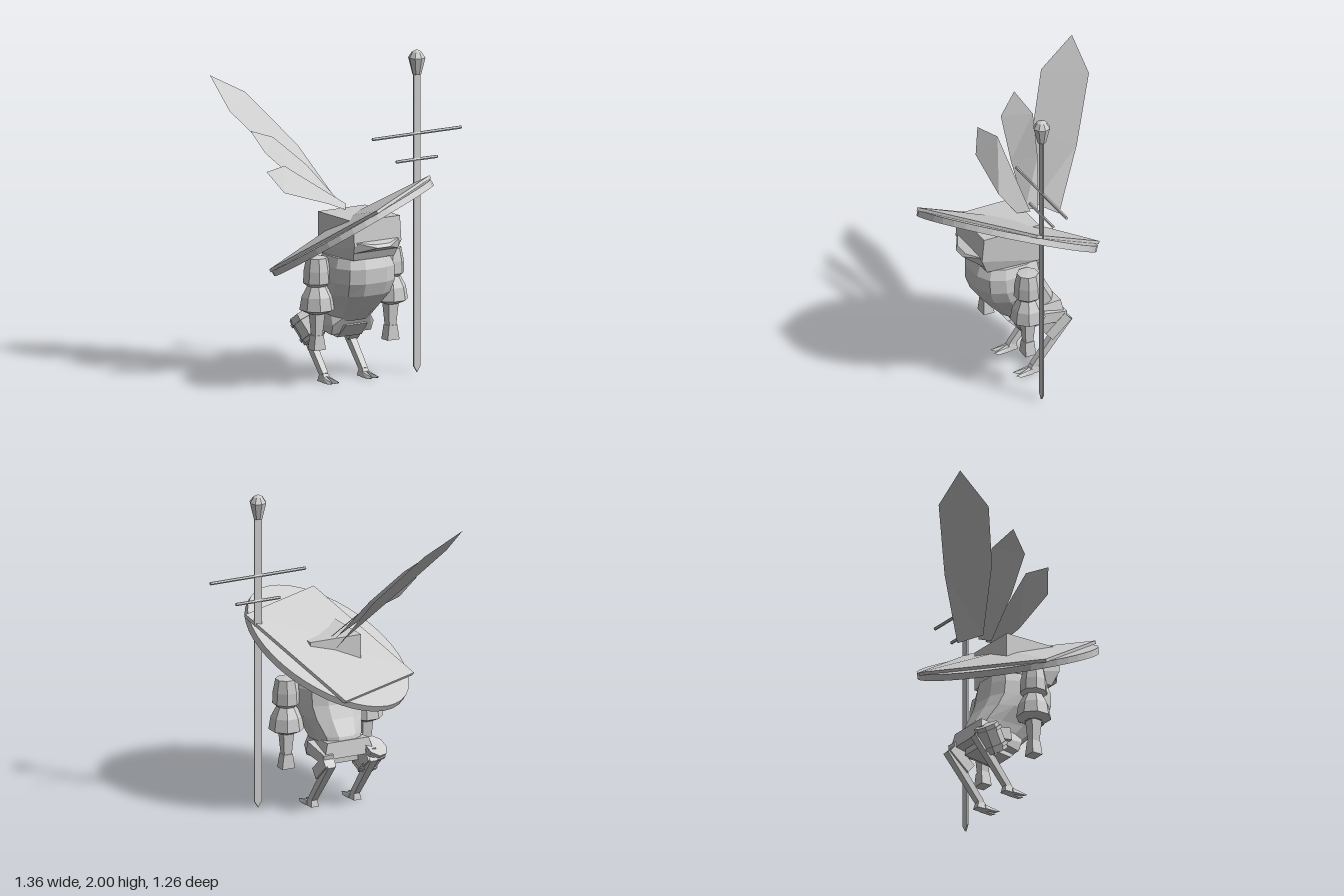
import * as THREE from 'three';
import { ConvexGeometry } from 'three/addons/geometries/ConvexGeometry.js';

const grey = new THREE.MeshStandardMaterial({ color: 0xcccccc, flatShading: true });
grey.name = 'grey';
const greySheet = new THREE.MeshStandardMaterial({ color: 0xcccccc, flatShading: true, side: THREE.DoubleSide });
greySheet.name = 'grey sheet';

const V = (x, y, z) => new THREE.Vector3(x, y, z);
const MID = -0.11; // centre line of the body

function add(parent, name, geometry, material = grey) {
  const mesh = new THREE.Mesh(geometry, material);
  mesh.name = name;
  parent.add(mesh);
  return mesh;
}

// Convex solid from points given on one side, mirrored about x = 0
function mirrored(points) {
  return new ConvexGeometry(points.flatMap(([x, y, z]) => [V(x, y, z), V(-x, y, z)]));
}

// Straight limb from a to b with a polygonal section
function limb(parent, name, a, b, ra, rb, sides = 4) {
  const dir = b.clone().sub(a);
  const geo = new THREE.CylinderGeometry(rb, ra, dir.length(), sides);
  if (sides === 4) geo.rotateY(Math.PI / 4);
  const mesh = add(parent, name, geo);
  mesh.position.copy(a).add(b).multiplyScalar(0.5);
  mesh.quaternion.setFromUnitVectors(V(0, 1, 0), dir.normalize());
  return mesh;
}

// Closed body from rounded sections [y, half width, front z, back z], bottom to top
function loft(sections, sides, power) {
  const pos = [], index = [], n = sections.length;
  const soft = (v) => Math.sign(v) * Math.abs(v) ** power;
  for (const [y, hw, zf, zb] of sections) {
    for (let j = 0; j < sides; j++) {
      const t = ((j + 0.5) / sides) * Math.PI * 2;
      pos.push(soft(Math.sin(t)) * hw, y, (zf + zb) / 2 + soft(Math.cos(t)) * (zf - zb) / 2);
    }
  }
  for (let i = 0; i < n - 1; i++) {
    for (let j = 0; j < sides; j++) {
      const k = (j + 1) % sides, a = i * sides + j, b = i * sides + k;
      index.push(a, b, b + sides, a, b + sides, a + sides);
    }
  }
  for (let j = 1; j < sides - 1; j++) {
    const top = (n - 1) * sides;
    index.push(0, j + 1, j, top, top + j, top + j + 1);
  }
  const geo = new THREE.BufferGeometry();
  geo.setAttribute('position', new THREE.Float32BufferAttribute(pos, 3));
  geo.setIndex(index);
  geo.computeVertexNormals();
  return geo;
}

// Thin leaf, triangulated from the base edge outward
function feather(points) {
  const geo = new THREE.BufferGeometry();
  geo.setAttribute('position', new THREE.Float32BufferAttribute(points.flat(), 3));
  // order: tip, right shoulder, right middle, base right, base left, left middle, left shoulder
  geo.setIndex([0, 6, 1, 1, 6, 5, 1, 5, 2, 2, 5, 4, 2, 4, 3]);
  geo.computeVertexNormals();
  return geo;
}

function buildHat() {
  const hat = new THREE.Group();
  hat.name = 'hat';
  const up = V(-0.33, 0.86, -0.4).normalize();
  const side = V(0.535, 0.243, 0.085);
  side.addScaledVector(up, -side.dot(up)).normalize();
  hat.quaternion.setFromRotationMatrix(
    new THREE.Matrix4().makeBasis(side, up, side.clone().cross(up)));
  hat.position.set(-0.115, 0.95, 0.1);
  add(hat, 'brim', new THREE.CylinderGeometry(0.556, 0.556, 0.04, 40));
  add(hat, 'squareCover', new THREE.CylinderGeometry(0.59, 0.59, 0.02, 4)).position.y = 0.028;
  add(hat, 'coverPeak', new THREE.ConeGeometry(0.59, 0.04, 4)).position.y = 0.058;
  return hat;
}

function buildArm(x) {
  const arm = new THREE.Group();
  arm.name = x > MID ? 'leftArm' : 'rightArm';
  arm.position.set(x, 0, 0.105);
  const sleeve = [[0, 0.47], [0.055, 0.455], [0.108, 0.48], [0.095, 0.56], [0.06, 0.625], [0.085, 0.645],
    [0.082, 0.72], [0.066, 0.8], [0, 0.805]].map(([r, y]) => new THREE.Vector2(r, y));
  add(arm, 'sleeve', new THREE.LatheGeometry(sleeve, 8).rotateY(Math.PI / 8));
  limb(arm, 'forearm', V(0, 0.3, 0), V(0, 0.47, 0), 0.034, 0.052);
  add(arm, 'hand', mirrored([[0.043, 0.23, 0.035], [0.043, 0.23, -0.035], [0.03, 0.32, 0.03], [0.03, 0.32, -0.03]]));
  return arm;
}

function buildLeg(x) {
  const leg = new THREE.Group();
  leg.name = x > MID ? 'leftLeg' : 'rightLeg';
  leg.position.x = x;
  limb(leg, 'thigh', V(0, 0.38, 0.0), V(0, 0.35, -0.21), 0.055, 0.045);
  limb(leg, 'thighWrap', V(0, 0.235, -0.09), V(0, 0.345, -0.22), 0.052, 0.05);
  limb(leg, 'shin', V(0, 0.04, 0.0), V(0, 0.33, -0.235), 0.028, 0.036);
  add(leg, 'heel', mirrored([[0.03, 0, 0.05], [0.026, 0, -0.035], [0.018, 0.05, 0.015], [0.018, 0.045, -0.025]]));
  for (const s of [-1, 1]) {
    add(leg, 'toe', new ConvexGeometry([V(0, 0, 0.01), V(s * 0.034, 0, 0.02), V(0, 0.035, 0.02),
      V(s * 0.025, 0.03, 0.02), V(s * 0.036, 0, 0.1), V(s * 0.01, 0, 0.1), V(s * 0.024, 0.012, 0.13)]));
  }
  return leg;
}

function buildSword() {
  const sword = new THREE.Group();
  sword.name = 'sword';
  sword.position.set(0.35, 0, 0.11);
  const outline = [[0, 0.005], [0.025, 0.045], [0.025, 1.86], [-0.025, 1.86], [-0.025, 0.045]];
  const shape = new THREE.Shape(outline.map(([x, y]) => new THREE.Vector2(x, y)));
  add(sword, 'blade', new THREE.ExtrudeGeometry(shape, { depth: 0.01, bevelEnabled: false }).translate(0, 0, -0.005));
  const pommel = [[0, 1.845], [0.027, 1.845], [0.053, 1.95], [0.03, 1.985], [0, 2]].map(([r, y]) => new THREE.Vector2(r, y));
  add(sword, 'pommel', new THREE.LatheGeometry(pommel, 8));
  for (const [y, length] of [[1.48, 0.65], [1.32, 0.3]]) {
    add(sword, 'crossbar', new THREE.CylinderGeometry(0.01, 0.01, length, 6).rotateZ(Math.PI / 2)).position.y = y;
  }
  return sword;
}

export function createModel() {
  const model = new THREE.Group();
  model.name = 'featheredHatFigure';

  // Torso, head and skirt share the body centre line
  const body = new THREE.Group();
  body.name = 'body';
  body.position.x = MID;
  model.add(body);
  add(body, 'torso', loft([
    [0.39, 0.13, 0.16, -0.2], [0.47, 0.155, 0.24, -0.18], [0.57, 0.2, 0.325, -0.125],
    [0.65, 0.215, 0.355, -0.09], [0.74, 0.21, 0.355, -0.075], [0.8, 0.185, 0.33, -0.065]], 12, 0.75));
  add(body, 'head', mirrored([
    [0.172, 1.05, 0.35], [0.172, 1.05, -0.025], [0.172, 0.8, -0.025],
    [0.172, 0.9, 0.365], [0.15, 0.8, 0.32]]));
  add(body, 'beak', mirrored([
    [0.17, 0.92, 0.355], [0.16, 0.85, 0.345], [0.05, 0.905, 0.415], [0.045, 0.885, 0.43]]));
  add(body, 'skirt', mirrored([
    [0.1, 0.41, 0.14], [0.145, 0.3, 0.08], [0.15, 0.36, 0.1], [0.14, 0.45, -0.19], [0.17, 0.35, -0.205], [0.13, 0.43, 0.05]]));
  add(body, 'loincloth', mirrored([
    [0.08, 0.36, 0.14], [0.09, 0.275, 0.06], [0.09, 0.3, -0.15], [0.08, 0.37, -0.15]]));

  model.add(buildHat());
  for (const s of [-1, 1]) {
    model.add(buildArm(MID + s * 0.27));
    model.add(buildLeg(MID + s * 0.145));
  }

  // Bedroll tied to the right hip
  const from = V(-0.26, 0.25, -0.09), to = V(-0.3, 0.385, -0.19);
  limb(model, 'bedroll', from, to, 0.078, 0.078, 8);
  for (const t of [0.2, 0.8]) {
    limb(model, 'bedrollStrap', from.clone().lerp(to, t - 0.06), from.clone().lerp(to, t + 0.06), 0.086, 0.086, 8);
  }

  // Three feathers fanning from the hat
  const feathers = [
    [[-0.66, 1.83, -0.63], [-0.41, 1.7, -0.615], [-0.17, 1.38, -0.405], [-0.01, 1.04, -0.2],
      [-0.14, 1.07, -0.1], [-0.45, 1.38, -0.25], [-0.66, 1.645, -0.42]],
    [[-0.64, 1.555, -0.225], [-0.455, 1.49, -0.255], [-0.26, 1.31, -0.185], [-0.075, 1.07, -0.09],
      [-0.12, 1.06, -0.025], [-0.4, 1.24, -0.075], [-0.605, 1.43, -0.115]],
    [[-0.68, 1.345, 0.005], [-0.515, 1.355, -0.045], [-0.29, 1.21, -0.04], [-0.07, 1.07, -0.035],
      [-0.12, 1.05, 0.03], [-0.27, 1.11, 0.075], [-0.59, 1.215, 0.065]],
  ];
  for (const points of feathers) add(model, 'feather', feather(points), greySheet);

  model.add(buildSword());
  return model;
}
